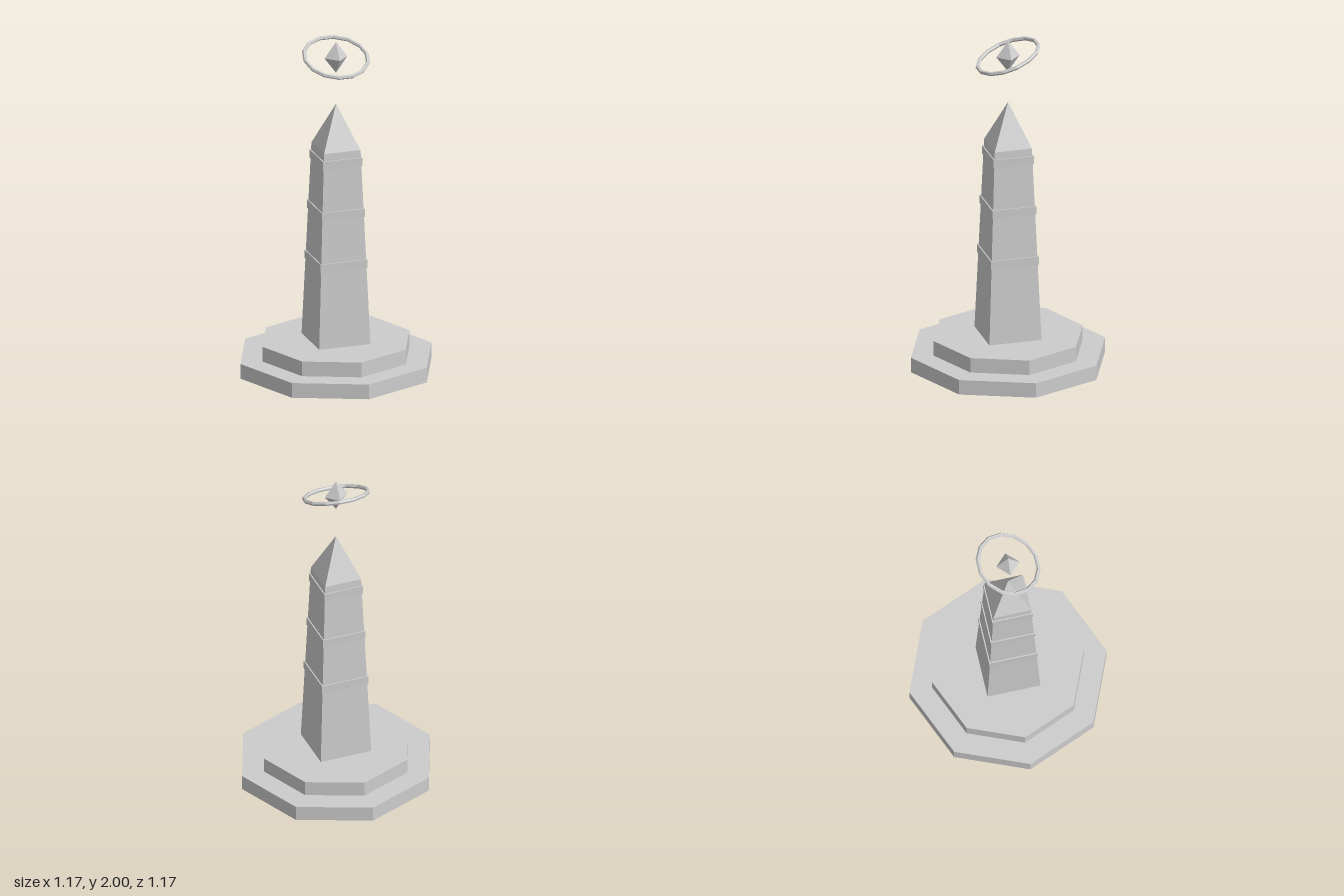
import * as THREE from 'three';

export function createModel() {
  const model = new THREE.Group();
  model.name = 'obeliskMonument';
  const stone = new THREE.MeshStandardMaterial({ color: 0xcccccc });
  stone.name = 'pale grey stone';

  function add(name, geometry, y) {
    const flat = geometry.index ? geometry.toNonIndexed() : geometry;
    flat.computeVertexNormals(); // faceted look
    const mesh = new THREE.Mesh(flat, stone);
    mesh.name = name;
    mesh.position.y = y;
    model.add(mesh);
    return mesh;
  }

  // Square frustum given by half widths
  function frustum(top, bottom, height) {
    return new THREE.CylinderGeometry(top * Math.SQRT2, bottom * Math.SQRT2, height, 4).rotateY(Math.PI / 4);
  }

  // Two octagonal steps
  add('lowerStep', new THREE.CylinderGeometry(0.585, 0.585, 0.09, 8), 0.045);
  add('upperStep', new THREE.CylinderGeometry(0.45, 0.45, 0.09, 8), 0.135);

  // Tapered shaft and pointed cap
  const shaftHalf = (y) => 0.157 - 0.045 * (y - 0.18) / 1.18;
  add('shaft', frustum(shaftHalf(1.36), shaftHalf(0.18), 1.18), 0.77);
  const cap = new THREE.ConeGeometry(0.112 * Math.SQRT2, 0.26, 4).rotateY(Math.PI / 4);
  add('cap', cap, 1.49);

  // Raised bands around the shaft
  [0.67, 0.98, 1.29].forEach((y, i) => {
    const width = 2 * (shaftHalf(y) + 0.006);
    add('band' + (i + 1), new THREE.BoxGeometry(width, 0.05, width), y);
  });

  // Floating crystal
  const crystal = new THREE.OctahedronGeometry(1).scale(0.07, 0.095, 0.07);
  add('crystal', crystal, 1.905);

  // Tilted ring around the crystal
  const ring = add('ring', new THREE.TorusGeometry(0.188, 0.012, 6, 14), 1.905);
  ring.rotation.x = Math.PI / 2 + 0.36;

  return model;
}
